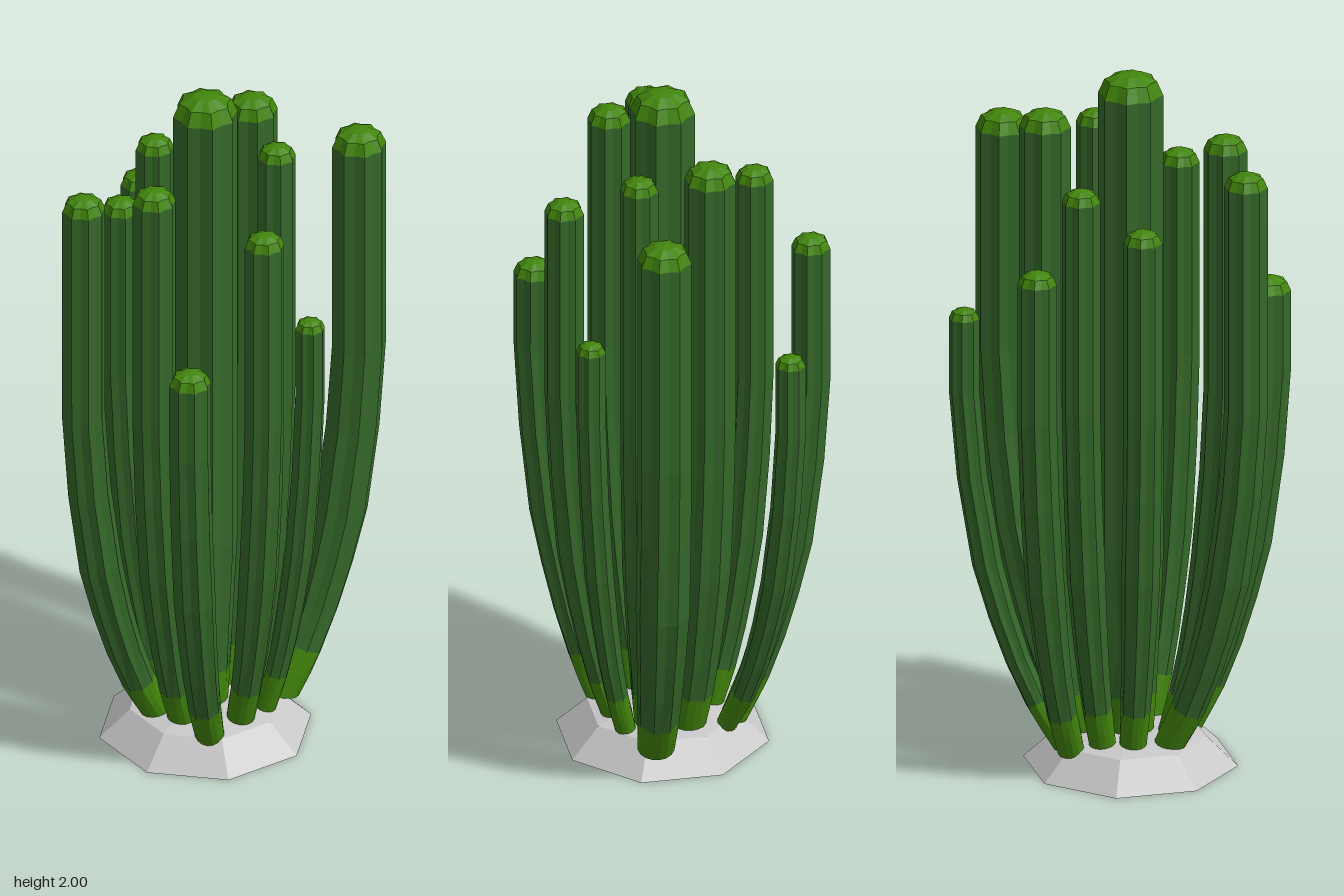
import * as THREE from 'three';

const SIDES = 16; // eight ribs and eight valleys
const UP = new THREE.Vector3(0, 1, 0);

// Stems: [base x, base z, tip x, tip z, height, radius]
const STEMS = [
  [0.035, 0.03, 0.035, 0.03, 2.0, 0.09],
  [-0.06, -0.14, -0.09, -0.41, 1.34, 0.042],
  [0.035, -0.09, 0.036, -0.205, 1.88, 0.071],
  [0.17, -0.14, 0.285, -0.355, 1.78, 0.075],
  [-0.10, -0.115, -0.31, -0.18, 1.54, 0.054],
  [-0.075, -0.03, -0.195, -0.075, 1.74, 0.053],
  [0.125, -0.035, 0.19, -0.088, 1.83, 0.053],
  [0.19, -0.025, 0.322, -0.05, 1.34, 0.041],
  [-0.075, 0.05, -0.195, 0.095, 1.63, 0.053],
  [0.165, 0.06, 0.29, 0.13, 1.69, 0.055],
  [0.14, 0.17, 0.215, 0.388, 1.36, 0.058],
  [-0.045, 0.14, -0.14, 0.37, 1.79, 0.06],
  [0.038, 0.14, 0.036, 0.29, 1.83, 0.06],
];

// Piecewise linear lookup
function lookup(table, y) {
  for (let i = 1; i < table.length; i++) {
    const [a, va] = table[i - 1], [b, vb] = table[i];
    if (y <= b) return va + (vb - va) * Math.max(0, (y - a) / (b - a));
  }
  return table[table.length - 1][1];
}
const BEND = [[0.07, 0], [0.2, 0.27], [0.32, 0.46], [0.45, 0.62], [0.6, 0.77], [0.85, 0.92], [1.1, 1]];
const GIRTH = [[0.07, 0.68], [0.2, 0.78], [0.6, 1]];

// Skin a stack of closed rings
function loft(rings, material, name) {
  const pos = rings.flat().flatMap(p => [p.x, p.y, p.z]);
  const index = [];
  for (let j = 0; j < rings.length - 1; j++) {
    for (let i = 0; i < SIDES; i++) {
      const a = j * SIDES + i, b = j * SIDES + (i + 1) % SIDES;
      index.push(a, a + SIDES, b, b, a + SIDES, b + SIDES);
    }
  }
  const geo = new THREE.BufferGeometry();
  geo.setAttribute('position', new THREE.Float32BufferAttribute(pos, 3));
  geo.setIndex(index);
  geo.computeVertexNormals();
  const mesh = new THREE.Mesh(geo, material);
  mesh.name = name;
  return mesh;
}

function makeStem([bx, bz, tx, tz, h, r], mats) {
  const at = y => {
    const f = lookup(BEND, y);
    return new THREE.Vector3(bx + (tx - bx) * f, y, bz + (tz - bz) * f);
  };
  // Ribbed ring, tilted to follow the bend
  const ring = (y, scale = 1) => {
    const c = at(y);
    const dir = at(y + 0.05).sub(at(y - 0.05)).normalize();
    const q = new THREE.Quaternion().setFromUnitVectors(UP, dir);
    const depth = 0.14 * THREE.MathUtils.smoothstep(y, 0.12, 0.3);
    return Array.from({ length: SIDES }, (_, i) => {
      const a = i / SIDES * Math.PI * 2;
      const d = r * scale * lookup(GIRTH, y) * (i % 2 ? 1 - depth : 1);
      return new THREE.Vector3(Math.cos(a) * d, 0, Math.sin(a) * d).applyQuaternion(q).add(c);
    });
  };
  const rim = h - 0.7 * r;
  const stem = new THREE.Group();
  stem.name = 'stem';
  stem.add(
    loft([0.07, 0.14, 0.2].map(y => ring(y)), mats.bright, 'stemFoot'),
    loft([0.2, 0.32, 0.45, 0.6, 0.85, 1.1, rim].map(y => ring(y)), mats.dark, 'ribbedStem'),
    loft([ring(rim), ring(h - 0.25 * r, 0.8), ring(h - 0.06 * r, 0.4), ring(h, 0.001)], mats.bright, 'stemTip'),
  );
  return stem;
}

export function createModel() {
  const make = (name, color, side = THREE.FrontSide) =>
    new THREE.MeshStandardMaterial({ name, color, side, flatShading: true });
  const mats = {
    dark: make('darkGreen', 0x35682a, THREE.DoubleSide),
    bright: make('brightGreen', 0x42860c, THREE.DoubleSide),
    stone: make('paleGrey', 0xc8c8c8, THREE.DoubleSide),
  };
  const model = new THREE.Group();
  model.name = 'columnCactus';

  // Hollow faceted mound
  const profile = [[0.295, 0], [0.21, 0.08], [0.13, 0.095], [0, 0.1]].map(p => new THREE.Vector2(...p));
  const mound = new THREE.Mesh(new THREE.LatheGeometry(profile, 8), mats.stone);
  mound.name = 'mound';
  mound.position.set(0.035, 0, 0.03);
  model.add(mound);

  for (const s of STEMS) model.add(makeStem(s, mats));
  return model;
}
